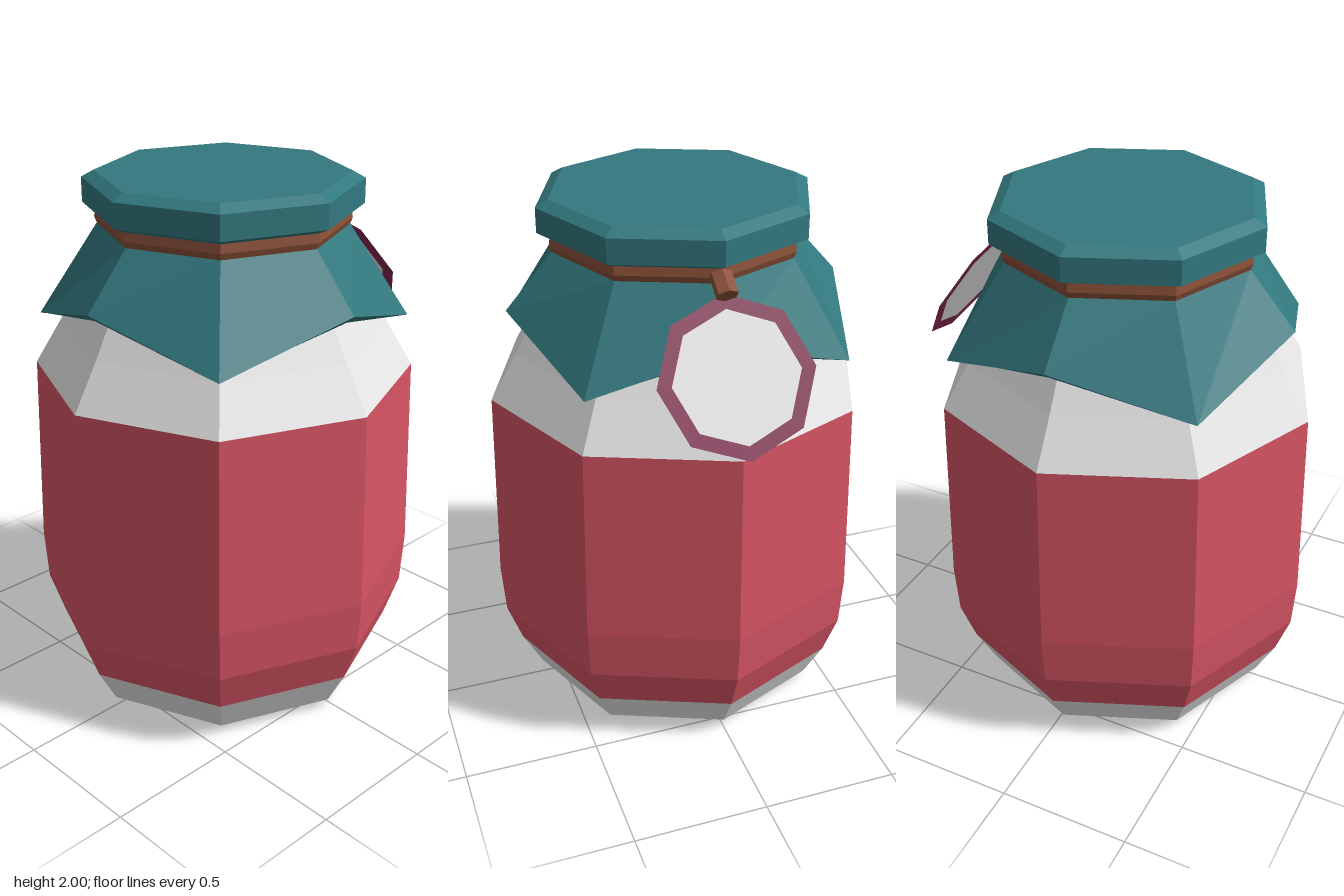
import * as THREE from 'three';

const SIDES = 8;
const flat = (name, color, side = THREE.FrontSide) =>
  new THREE.MeshStandardMaterial({ name, color, flatShading: true, side });

// Skirt made of octagonal rings; corners alternate between raised and drooping.
function skirtGeometry() {
  // each ring: [radius, y] on the axes, then [radius, y] on the diagonals, then back corner radius
  const rings = [
    [0.43, 1.8, 0.43, 1.8, 0.43],
    [0.60, 1.585, 0.65, 1.462, 0.535],
    [0.63, 1.612, 0.68, 1.465, 0.565],
    [0.455, 1.81, 0.455, 1.81, 0.455],
    [0.38, 1.83, 0.38, 1.83, 0.38],
  ];
  const positions = [], index = [];
  rings.forEach(([axisR, axisY, diagR, diagY, backR], r) => {
    for (let i = 0; i < SIDES; i++) {
      const a = (i / SIDES) * Math.PI * 2, diag = i % 2;
      const radius = i === SIDES / 2 ? backR : diag ? diagR : axisR;
      positions.push(Math.sin(a) * radius, diag ? diagY : axisY, Math.cos(a) * radius);
      if (r === 0) continue;
      const j = (i + 1) % SIDES, lo = (r - 1) * SIDES, hi = r * SIDES;
      index.push(lo + i, lo + j, hi + j, lo + i, hi + j, hi + i);
    }
  });
  const g = new THREE.BufferGeometry();
  g.setAttribute('position', new THREE.Float32BufferAttribute(positions, 3));
  g.setIndex(index);
  g.computeVertexNormals();
  return g;
}

export function createModel() {
  const glass = flat('pale glass', 0xe6e6e6);
  const jam = flat('red jam', 0xd75464);
  const cloth = flat('teal cloth', 0x32787e, THREE.DoubleSide);
  const twine = flat('brown twine', 0x8a5038);
  const paper = flat('tag paper', 0xe0e0e0, THREE.DoubleSide);
  const border = flat('plum border', 0x80274f, THREE.DoubleSide);

  const model = new THREE.Group();
  model.name = 'jar';
  const body = new THREE.Group();
  body.name = 'jarBody';
  body.position.z = 0.025;
  model.add(body);

  const add = (parent, name, geometry, material) => {
    const mesh = new THREE.Mesh(geometry, material);
    mesh.name = name;
    parent.add(mesh);
    return mesh;
  };
  const turned = (name, profile, material) => add(body, name,
    new THREE.LatheGeometry(profile.map(([r, y]) => new THREE.Vector2(r, y)), SIDES), material);

  // Glass base, jam band and glass shoulder share one outline
  turned('glassBase', [[0, 0], [0.53, 0], [0.58, 0.035], [0.655, 0.177]], glass);
  turned('jamBand', [[0.655, 0.177], [0.71, 0.335], [0.723, 0.53], [0.705, 1.27]], jam);
  turned('glassShoulder', [[0.705, 1.27], [0.605, 1.44], [0.545, 1.55], [0.42, 1.72], [0.38, 1.86], [0, 1.86]], glass);

  // Cloth cover: flared skirt and bevelled lid
  add(body, 'clothSkirt', skirtGeometry(), cloth);
  turned('clothLid', [[0, 1.866], [0.465, 1.866], [0.505, 1.885], [0.505, 1.975], [0.46, 2], [0, 2]], cloth);

  // Twine around the neck, with its knot at the back
  turned('twineBand', [[0.4, 1.805], [0.455, 1.808], [0.464, 1.832], [0.458, 1.868], [0.4, 1.868]], twine);
  const knot = add(model, 'twineKnot', new THREE.CylinderGeometry(0.04, 0.04, 0.085, 6), twine);
  knot.position.set(0, 1.82, -0.468);
  knot.rotation.x = 0.96;
  knot.scale.z = 0.8;

  // Octagonal tag hanging from the knot
  const tag = new THREE.Group();
  tag.name = 'tag';
  tag.position.set(0, 1.55, -0.61);
  tag.rotation.x = 0.548;
  add(tag, 'tagPaper', new THREE.CircleGeometry(0.228, SIDES), paper);
  add(tag, 'tagBorder', new THREE.RingGeometry(0.228, 0.28, SIDES), border);
  model.add(tag);

  return model;
}
